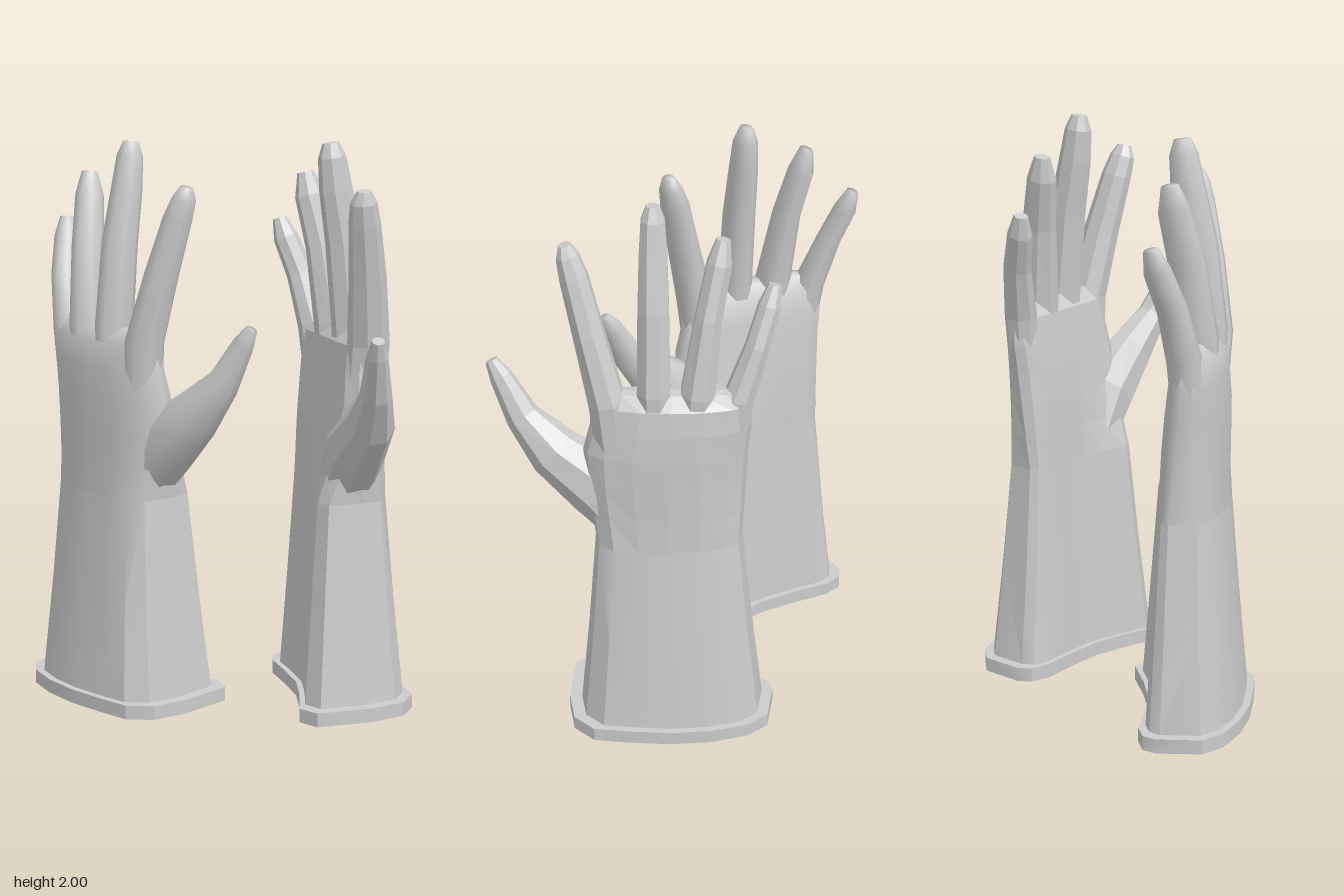
import * as THREE from 'three';
import { mergeVertices, toCreasedNormals } from 'three/addons/utils/BufferGeometryUtils.js';

// Normalised outlines [x, z], little-finger side -> back of hand -> thumb side -> palm
const CUFF = [[0, .42], [.03, .76], [.13, .89], [.3, .97], [.5, 1], [.7, .98], [.87, .95], [.97, .8],
  [1, .52], [.98, .08], [.88, 0], [.68, .13], [.5, .22], [.3, .25], [.12, .26], [.03, .32]];
const PALM = [[0, .4], [.03, .62], [.12, .84], [.3, .97], [.5, 1], [.7, .97], [.87, .86], [.97, .65],
  [1, .45], [.97, .24], [.87, .08], [.68, .06], [.5, .08], [.3, .08], [.12, .1], [.03, .22]];

// Outline placed at height y between x0..x1 and z0..z1; t blends cuff shape into palm shape
function section(y, x0, x1, z0, z1, t = 0) {
  return CUFF.map(([cx, cz], i) => {
    const x = cx + (PALM[i][0] - cx) * t, z = cz + (PALM[i][1] - cz) * t;
    return new THREE.Vector3(x0 + (x1 - x0) * x, y, z0 + (z1 - z0) * z);
  });
}

// Rings along a finger spine; each station is [x, y, z, half width, half depth]
function fingerRings(spine, sides = 8) {
  const pts = spine.map(s => new THREE.Vector3(s[0], s[1], s[2]));
  const rings = spine.map((s, i) => {
    const t = pts[Math.min(i + 1, pts.length - 1)].clone().sub(pts[Math.max(i - 1, 0)]).normalize();
    const u = t.clone().cross(new THREE.Vector3(0, 0, 1)).normalize();
    const w = u.clone().cross(t);
    return Array.from({ length: sides }, (_, j) => {
      const a = (j + .5) / sides * Math.PI * 2;
      return pts[i].clone().addScaledVector(u, -Math.cos(a) * s[3]).addScaledVector(w, Math.sin(a) * s[4]);
    });
  });
  const last = pts[pts.length - 1];
  rings.push(rings[0].map(() => last.clone()));
  return rings;
}

// Skin a stack of rings; side = -1 mirrors it in z
function loft(rings, side) {
  const n = rings[0].length, pos = [], index = [];
  const flat = rings.flat();
  flat.forEach(p => pos.push(p.x, p.y, p.z * side));
  const tri = (a, b, c) => {
    const A = flat[a], B = flat[b], C = flat[c];
    if (A.distanceTo(B) < 1e-4 || B.distanceTo(C) < 1e-4 || A.distanceTo(C) < 1e-4) return;
    index.push(a, ...(side > 0 ? [b, c] : [c, b]));
  };
  for (let i = 0; i < rings.length - 1; i++) {
    for (let j = 0; j < n; j++) {
      const k = (j + 1) % n, a = i * n + j, b = i * n + k;
      tri(a, b, b + n);
      tri(a, b + n, a + n);
    }
  }
  const g = new THREE.BufferGeometry();
  g.setAttribute('position', new THREE.Float32BufferAttribute(pos, 3));
  g.setIndex(index);
  const merged = mergeVertices(g);
  merged.computeVertexNormals();
  return merged;
}

const FINGERS = {
  littleFinger: [[-.565, 1.08, .32, .045, .05], [-.592, 1.32, .31, .055, .06], [-.652, 1.5, .28, .042, .052],
    [-.692, 1.63, .238, .04, .046], [-.71, 1.7, .22, .023, .026]],
  ringFinger: [[-.44, 1.08, .33, .05, .06], [-.455, 1.35, .33, .062, .075], [-.49, 1.62, .3, .048, .065],
    [-.525, 1.8, .262, .044, .055], [-.538, 1.88, .25, .025, .03]],
  middleFinger: [[-.31, 1.08, .335, .05, .06], [-.307, 1.36, .335, .06, .075], [-.308, 1.65, .305, .056, .07],
    [-.308, 1.84, .27, .05, .06], [-.308, 1.95, .255, .043, .05], [-.308, 2, .25, .024, .03]],
  indexFinger: [[-.17, 1.08, .32, .06, .07], [-.15, 1.32, .33, .066, .075], [-.095, 1.55, .3, .056, .067],
    [-.047, 1.75, .265, .05, .056], [-.027, 1.82, .252, .04, .047], [-.018, 1.86, .25, .022, .026]],
  thumb: [[-.2, .82, .275, .09, .1], [-.12, .95, .27, .125, .105], [.04, 1.08, .26, .095, .08],
    [.145, 1.2, .228, .06, .054], [.215, 1.34, .2, .04, .036], [.245, 1.395, .19, .022, .022]]
};

function makeGlove(side, flatShading) {
  const glove = new THREE.Group();
  const cloth = new THREE.MeshStandardMaterial({ color: 0xcccccc, side: THREE.DoubleSide });
  const skin = new THREE.MeshStandardMaterial({ color: 0xcccccc, flatShading });
  const add = (name, geometry, material) => {
    const mesh = new THREE.Mesh(geometry, material);
    mesh.name = name;
    glove.add(mesh);
  };
  const creased = rings => toCreasedNormals(loft(rings, side), .6);

  // Hollow lining that runs down to the opening and turns out into the rim
  add('rimAndLining', creased([
    section(.72, -.36, -.36, .28, .28),
    section(.72, -.58, -.13, .175, .395),
    section(.05, -.665, -.065, .11, .46),
    section(0, -.685, -.04, .09, .475),
    section(0, -.73, .01, .05, .51),
    section(.05, -.73, .01, .05, .51),
    section(.05, -.69, -.035, .085, .485)
  ]), cloth);

  // Flared cuff
  add('cuff', creased([
    section(.05, -.69, -.035, .085, .485),
    section(.4, -.648, -.07, .117, .452),
    section(.762, -.612, -.1, .148, .422)
  ]), cloth);

  // Palm, closing to a ridge between the fingers
  add('palm', loft([
    section(.762, -.612, -.1, .148, .422, 0),
    section(.88, -.617, -.085, .175, .42, .4),
    section(1, -.622, -.07, .2, .42, .8),
    section(1.12, -.628, -.065, .22, .42, 1),
    section(1.22, -.638, -.09, .235, .415, 1),
    section(1.31, -.635, -.1, .25, .405, 1),
    section(1.355, -.6, -.14, .295, .365, 1),
    section(1.36, -.55, -.19, .33, .33, 1)
  ], side), skin);

  for (const [name, spine] of Object.entries(FINGERS)) add(name, loft(fingerRings(spine), side), skin);
  return glove;
}

export function createModel() {
  const model = new THREE.Group();
  model.name = 'gloves';

  const front = makeGlove(1, false);
  front.name = 'frontGlove';

  // Mirrored partner, turned and set behind
  const rear = makeGlove(-1, true);
  rear.name = 'rearGlove';
  rear.rotation.y = -.384;
  rear.position.set(.407, 0, .136);

  model.add(front, rear);
  return model;
}
